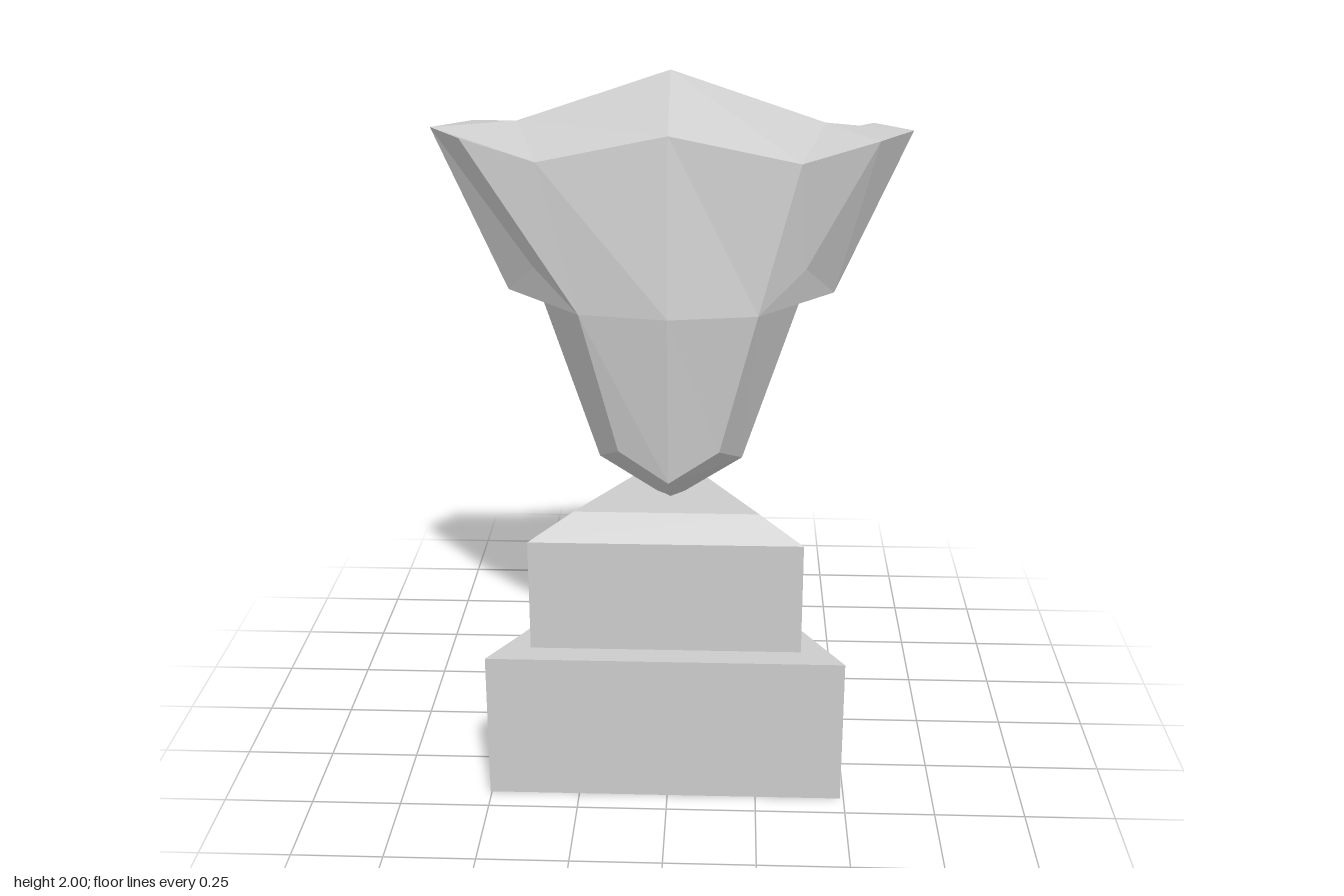
import * as THREE from 'three';

const material = new THREE.MeshStandardMaterial({ color: 0xcccccc, flatShading: true });

// Three-sided pedestal tier with one corner pointing back
function tier(name, bottomRadius, topRadius, y0, y1) {
  const geometry = new THREE.CylinderGeometry(topRadius, bottomRadius, y1 - y0, 3, 1, false, Math.PI);
  const mesh = new THREE.Mesh(geometry, material);
  mesh.position.set(-0.007, (y0 + y1) / 2, 0.143);
  mesh.name = name;
  return mesh;
}

// Faceted cup: one quarter is described, then mirrored across x and z
function cupGeometry() {
  const p = {
    peak: [0, 2, 0], ridgeEnd: [0.405, 1.865, 0],
    rimFront: [0, 1.865, 0.198], rimCorner: [0.34, 1.79, 0.168],
    wingFront: [0.54, 1.842, 0.125], wingTip: [0.635, 1.846, 0],
    wingLow: [0.36, 1.5, 0.112], wingLowTip: [0.442, 1.405, 0],
    waistFront: [0, 1.4, 0.255], waistCorner: [0.235, 1.395, 0.198], waistSide: [0.355, 1.395, 0],
    footFront: [0, 0.92, 0.198], footCorner: [0.137, 1, 0.165], footSide: [0.2, 0.92, 0],
    footPoint: [0, 0.79, 0],
  };
  const faces = [
    // sloping top
    ['peak', 'rimFront', 'rimCorner', 'ridgeEnd'],
    ['ridgeEnd', 'rimCorner', 'wingFront', 'wingTip'],
    // bowl and side wing
    ['rimFront', 'waistFront', 'waistCorner', 'rimCorner'],
    ['rimCorner', 'waistCorner', 'wingLow', 'wingFront'],
    ['wingFront', 'wingLow', 'wingLowTip', 'wingTip'],
    ['waistCorner', 'wingLowTip', 'wingLow'],
    ['waistCorner', 'waistSide', 'wingLowTip'],
    // tapering stem
    ['waistFront', 'footFront', 'footCorner', 'waistCorner'],
    ['waistCorner', 'footCorner', 'footSide', 'waistSide'],
    ['footFront', 'footPoint', 'footSide', 'footCorner'],
  ];
  const positions = [];
  for (const sx of [1, -1]) {
    for (const sz of [1, -1]) {
      for (const face of faces) {
        const corners = face.map((n) => [p[n][0] * sx, p[n][1], p[n][2] * sz]);
        if (sx * sz < 0) corners.reverse();
        for (let i = 1; i < corners.length - 1; i++) {
          positions.push(...corners[0], ...corners[i], ...corners[i + 1]);
        }
      }
    }
  }
  const geometry = new THREE.BufferGeometry();
  geometry.setAttribute('position', new THREE.Float32BufferAttribute(positions, 3));
  geometry.computeVertexNormals();
  return geometry;
}

export function createModel() {
  const model = new THREE.Group();
  model.name = 'trophy';

  // Stepped triangular pedestal
  model.add(
    tier('pedestalBase', 0.574, 0.574, 0, 0.428),
    tier('pedestalUpper', 0.436, 0.436, 0.428, 0.752),
    tier('pedestalBevel', 0.436, 0.296, 0.752, 0.815),
  );

  // Cup standing on its point
  const cup = new THREE.Mesh(cupGeometry(), material);
  cup.name = 'cup';
  cup.position.z = 0.135;
  model.add(cup);

  return model;
}
